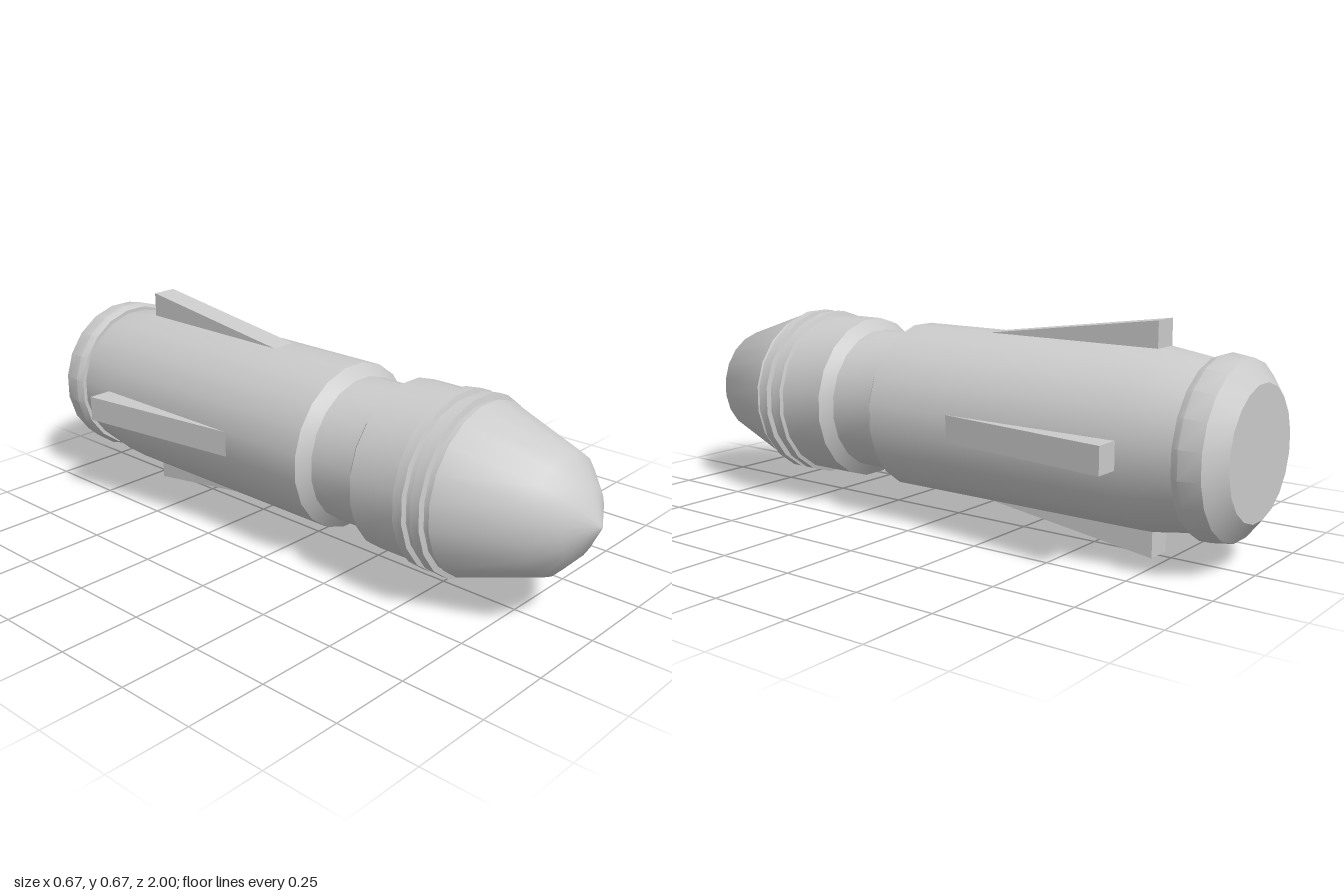
import * as THREE from 'three';
import { toCreasedNormals } from 'three/addons/utils/BufferGeometryUtils.js';

const SIDES = 20;
const HALF_STEP = Math.PI / SIDES;
const AXIS_Y = 0.333;

// Turned part along z: profile of [z, distance from axis to flat side], back to front
function turned(name, profile, material) {
  const points = profile.map(([z, h]) => new THREE.Vector2(h / Math.cos(HALF_STEP), z));
  let geometry = new THREE.LatheGeometry(points, SIDES, HALF_STEP);
  geometry.rotateX(Math.PI / 2);
  // Enlarged while creasing so that close vertices stay distinct
  geometry.scale(100, 100, 100);
  geometry = toCreasedNormals(geometry, THREE.MathUtils.degToRad(35));
  geometry.scale(0.01, 0.01, 0.01);
  const mesh = new THREE.Mesh(geometry, material);
  mesh.name = name;
  return mesh;
}

export function createModel() {
  const model = new THREE.Group();
  model.name = 'rocket';
  const material = new THREE.MeshStandardMaterial({ color: 0xcccccc });

  const hull = new THREE.Group();
  hull.name = 'hull';
  hull.position.y = AXIS_Y;
  model.add(hull);

  const parts = {
    // Flat tail with bevelled collar
    tailCollar: [[-1, 0], [-1, 0.186], [-0.952, 0.245], [-0.89, 0.254], [-0.867, 0.244], [-0.867, 0.232]],
    // Main tube, narrowing towards the tail
    body: [[-0.867, 0.232], [-0.71, 0.256], [0.143, 0.256], [0.175, 0.221]],
    neck: [[0.175, 0.221], [0.325, 0.221]],
    frontBand: [[0.325, 0.221], [0.354, 0.256], [0.512, 0.256]],
    // Two raised rings with grooves between them
    rings: [
      [0.512, 0.256], [0.516, 0.267], [0.547, 0.267], [0.551, 0.252], [0.571, 0.252],
      [0.575, 0.267], [0.606, 0.267], [0.61, 0.25], [0.627, 0.25],
    ],
    noseCone: [[0.627, 0.25], [0.63, 0.255], [0.877, 0.173], [0.942, 0.103], [1, 0]],
  };
  for (const [name, profile] of Object.entries(parts)) {
    hull.add(turned(name, profile, material));
  }

  // Four wedge fins, rooted inside the body
  const side = new THREE.Shape([
    new THREE.Vector2(-0.71, 0.2),
    new THREE.Vector2(-0.135, 0.2),
    new THREE.Vector2(-0.135, 0.254),
    new THREE.Vector2(-0.71, 0.333),
  ]);
  const finGeometry = new THREE.ExtrudeGeometry(side, { depth: 0.08, bevelEnabled: false });
  finGeometry.translate(0, 0, -0.04);
  finGeometry.rotateY(-Math.PI / 2);
  ['topFin', 'leftFin', 'bottomFin', 'rightFin'].forEach((name, i) => {
    const fin = new THREE.Mesh(finGeometry, material);
    fin.name = name;
    fin.rotation.z = -i * Math.PI / 2;
    hull.add(fin);
  });

  return model;
}
